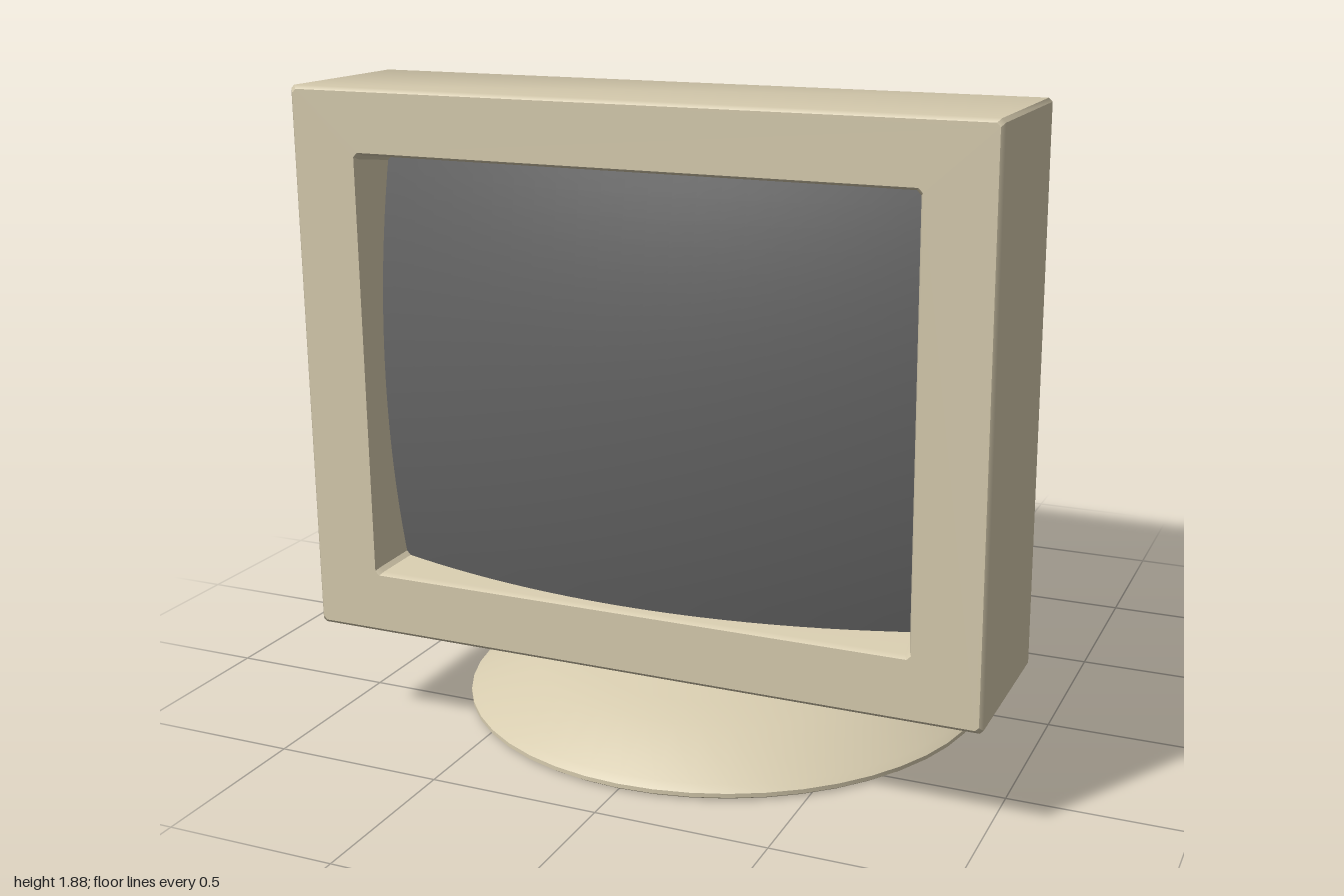
import * as THREE from 'three';
import { mergeGeometries, toCreasedNormals } from 'three/addons/utils/BufferGeometryUtils.js';
import { RoundedBoxGeometry } from 'three/addons/geometries/RoundedBoxGeometry.js';

const casing = new THREE.MeshStandardMaterial({ color: 0xd6cbae });
casing.name = 'beigeCasing';
const glass = new THREE.MeshStandardMaterial({ color: 0x656565 });
glass.name = 'darkGlass';

// Rectangle with small cut corners at depth z, counter-clockwise from the front
function ring(x, y0, y1, z, c = 0.01) {
  return [
    [x, y0 + c], [x, y1 - c], [x - c, y1], [-x + c, y1],
    [-x, y1 - c], [-x, y0 + c], [-x + c, y0], [x - c, y0],
  ].map(([px, py]) => new THREE.Vector3(px, py, z));
}

// Skin over rings: smooth along the depth, sharp between the sides.
// Rings running front to back face outward, back to front face inward.
function loft(rings) {
  const sides = rings[0].map((_, j) => {
    const points = [];
    const index = [];
    rings.forEach((r, i) => {
      points.push(r[j], r[(j + 1) % r.length]);
      if (i > 0) {
        const a = 2 * i - 2;
        index.push(a, a + 2, a + 1, a + 1, a + 2, a + 3);
      }
    });
    const side = new THREE.BufferGeometry().setFromPoints(points);
    side.setIndex(index);
    side.computeVertexNormals();
    return side;
  });
  return mergeGeometries(sides);
}

export function createModel() {
  const model = new THREE.Group();
  model.name = 'monitor';
  const add = (name, geometry, material = casing) => {
    const mesh = new THREE.Mesh(geometry, material);
    mesh.name = name;
    model.add(mesh);
    return mesh;
  };

  // Housing: deep front box narrowing in two steps towards the back
  const frontEdge = ring(0.99, 0.32, 1.87, 0.78);
  const backEdge = ring(0.54, 0.71, 1.48, -0.86);
  add('housing', loft([
    frontEdge,
    ring(1, 0.31, 1.88, 0.77),
    ring(1, 0.31, 1.88, 0.3),
    ring(0.75, 0.55, 1.635, 0.02),
    ring(0.55, 0.7, 1.49, -0.85),
    backEdge,
  ]));
  add('backPanel', new THREE.ShapeGeometry(new THREE.Shape(backEdge)).rotateY(Math.PI))
    .position.z = -0.86;

  // Front bezel with its tapered screen opening
  const opening = ring(0.805, 0.485, 1.705, 0.78, 0.012);
  const bezel = new THREE.Shape(frontEdge);
  bezel.holes.push(new THREE.Path(opening));
  add('bezel', new THREE.ShapeGeometry(bezel)).position.z = 0.78;
  add('screenRecess', loft([
    ring(0.77, 0.515, 1.675, 0.6, 0.012),
    ring(0.797, 0.493, 1.697, 0.765, 0.012),
    opening,
  ]));

  // Bulging screen, curved in both directions
  const screen = new THREE.PlaneGeometry(1.6, 1.21, 24, 20);
  const pos = screen.attributes.position;
  for (let i = 0; i < pos.count; i++) {
    pos.setZ(i, 0.81 - 0.17 * (pos.getX(i) ** 2 + pos.getY(i) ** 2));
  }
  screen.computeVertexNormals();
  add('screen', screen, glass).position.y = 1.095;

  // Block under the rear of the housing
  add('supportBlock', new RoundedBoxGeometry(0.84, 0.39, 1.02, 1, 0.008))
    .position.set(0, 0.485, -0.21);

  // Round foot and neck, with a short pivot under the block
  const profile = [
    [0, 0], [0.785, 0], [0.797, 0.008], [0.797, 0.02], [0.775, 0.036], [0.6, 0.122],
    [0.5, 0.152], [0.4, 0.178], [0.4, 0.273], [0.393, 0.28], [0, 0.28],
  ].map(([r, y]) => new THREE.Vector2(r, y));
  add('foot', toCreasedNormals(new THREE.LatheGeometry(profile, 48), 0.6))
    .position.z = 0.065;
  add('pivot', new THREE.CylinderGeometry(0.1, 0.1, 0.03, 24))
    .position.set(0, 0.285, 0.065);

  return model;
}
